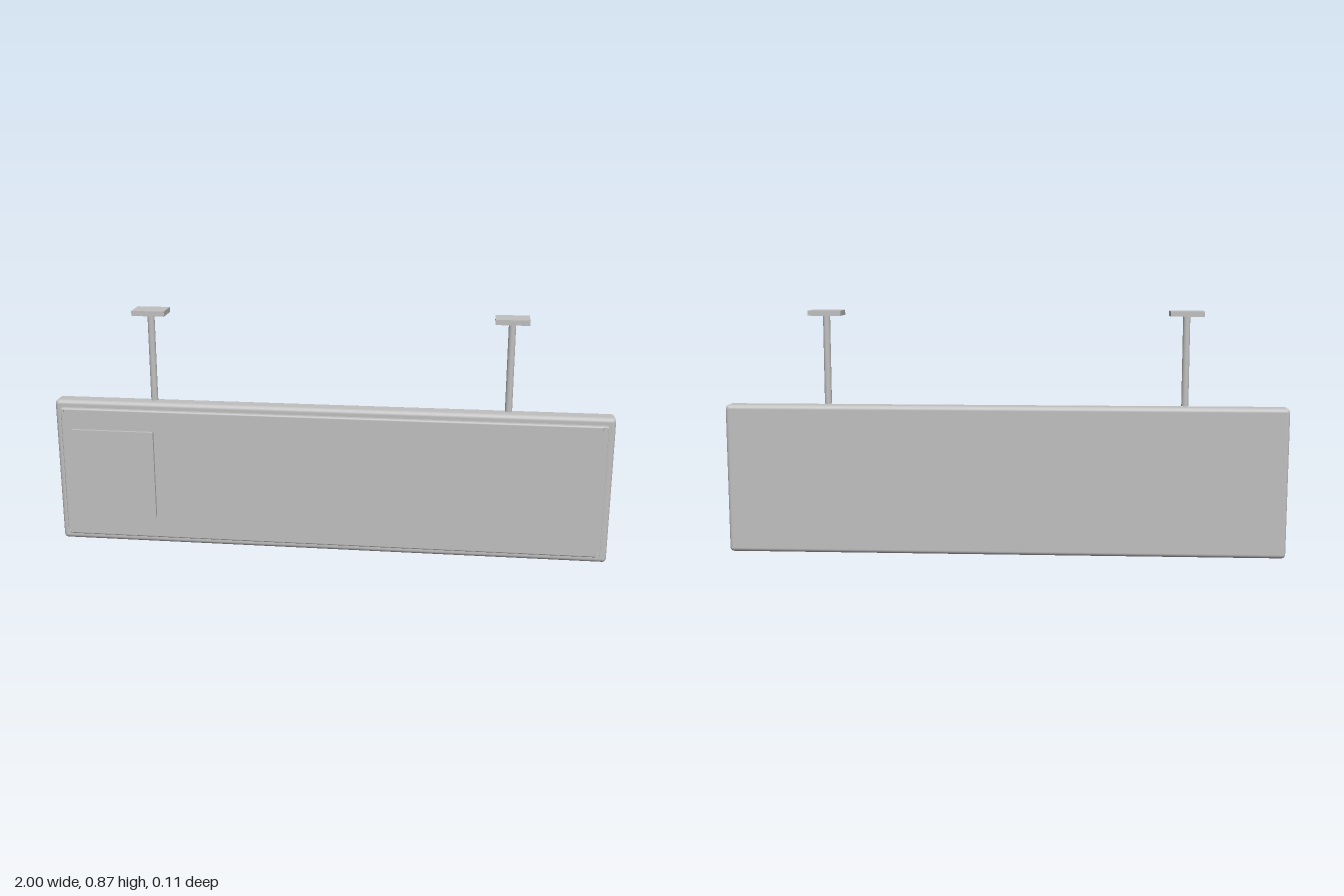
import * as THREE from 'three';
import { RoundedBoxGeometry } from 'three/addons/geometries/RoundedBoxGeometry.js';

export function createModel() {
  const model = new THREE.Group();
  model.name = 'hangingSign';
  const grey = new THREE.MeshStandardMaterial({ color: 0xc0c0c0 });
  grey.name = 'grey';

  const add = (name, geometry, x, y, z, parent = model) => {
    const mesh = new THREE.Mesh(geometry, grey);
    mesh.name = name;
    mesh.position.set(x, y, z);
    parent.add(mesh);
    return mesh;
  };

  // Sign case with softened edges, and the raised front panel
  add('signCase', new RoundedBoxGeometry(2, 0.537, 0.072, 5, 0.015), 0, 0.2685, -0.01);
  add('frontPanel', new RoundedBoxGeometry(1.95, 0.486, 0.022, 4, 0.006), 0, 0.269, 0.032);

  // Raised rectangular plate on the panel
  add('infoPlate', new THREE.BoxGeometry(0.302, 0.33, 0.014), -0.783, 0.27, 0.048);

  // Corner screws: thin shank with a wider round head
  const shank = new THREE.CylinderGeometry(0.005, 0.005, 0.008, 16).rotateX(Math.PI / 2);
  const head = new THREE.CylinderGeometry(0.008, 0.008, 0.006, 20).rotateX(Math.PI / 2);
  for (const x of [-0.967, 0.963]) {
    for (const y of [0.037, 0.505]) {
      const screw = new THREE.Group();
      screw.name = 'cornerScrew';
      add('screwShank', shank, x, y, 0.046, screw);
      add('screwHead', head, x, y, 0.051, screw);
      model.add(screw);
    }
  }

  // Hanging rods with ceiling plates
  const rod = new THREE.CylinderGeometry(0.0125, 0.0125, 0.318, 32);
  const plate = new THREE.BoxGeometry(0.117, 0.018, 0.086);
  for (const x of [-0.636, 0.632]) {
    const hanger = new THREE.Group();
    hanger.name = 'hanger';
    add('hangerRod', rod, x, 0.7, -0.011, hanger);
    add('ceilingPlate', plate, x, 0.865, -0.01, hanger);
    model.add(hanger);
  }
  return model;
}
